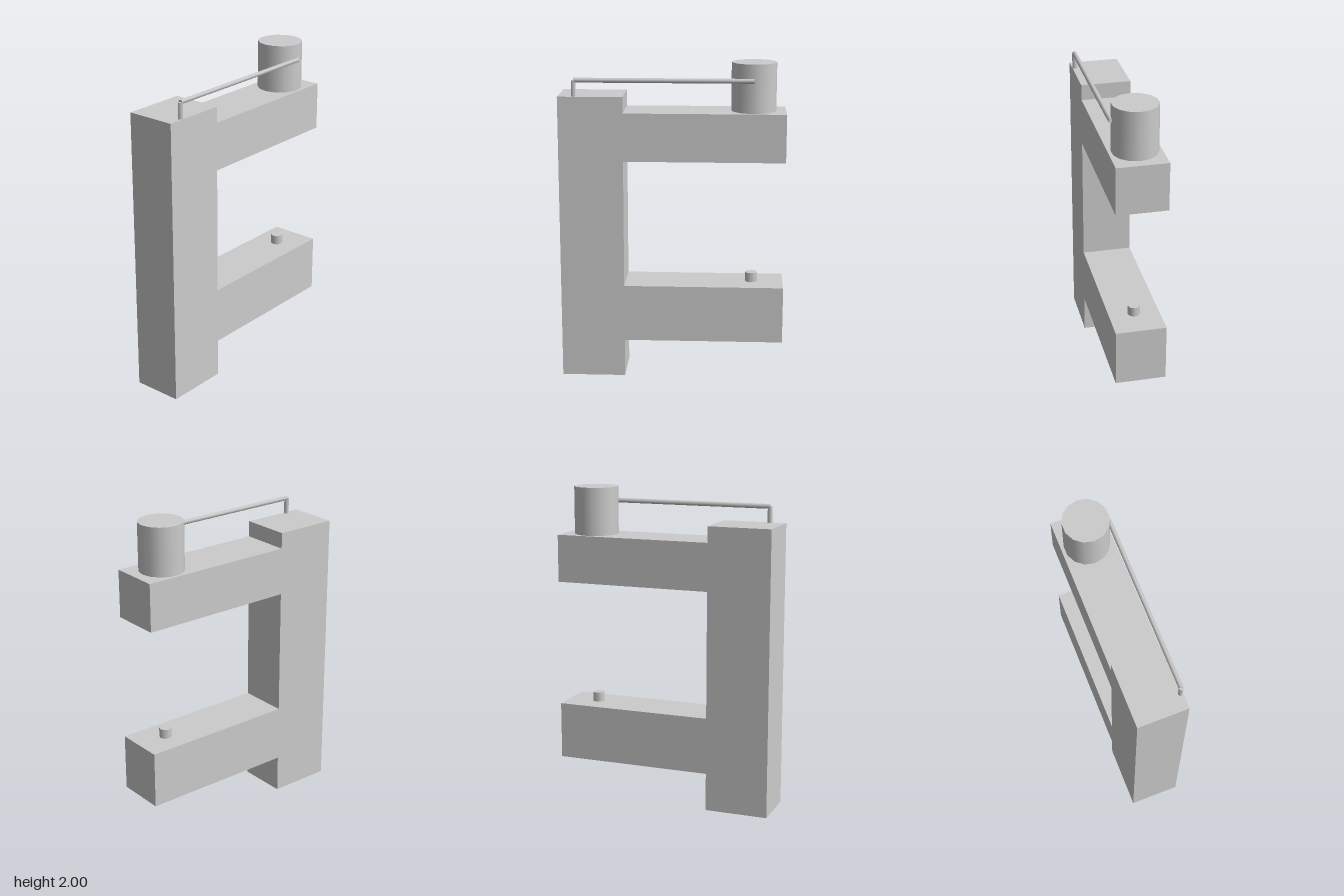
import * as THREE from 'three';

const HALF_WIDTH = 0.157;

export function createModel() {
  const group = new THREE.Group();
  const grey = new THREE.MeshStandardMaterial({ color: 0xcccccc });
  grey.name = 'light grey';

  const add = (name, geometry, x = 0, y = 0, z = 0) => {
    const mesh = new THREE.Mesh(geometry, grey);
    mesh.name = name;
    mesh.position.set(x, y, z);
    group.add(mesh);
    return mesh;
  };

  // Column with two rearward arms: a side profile (z, y) extruded across x
  const profile = new THREE.Shape([
    [0.7, 0], [0.7, 1.8], [0.3, 1.8], [0.3, 1.7], [-0.7, 1.7], [-0.7, 1.4],
    [0.3, 1.4], [0.3, 0.6], [-0.7, 0.6], [-0.7, 0.24], [0.3, 0.24], [0.3, 0],
  ].map(([z, y]) => new THREE.Vector2(z, y)));
  const frame = new THREE.ExtrudeGeometry(profile, { depth: HALF_WIDTH * 2, bevelEnabled: false });
  frame.translate(0, 0, -HALF_WIDTH).rotateY(-Math.PI / 2);
  add('frame', frame);

  // Drum on the upper arm and peg on the lower arm
  add('drum', new THREE.CylinderGeometry(0.139, 0.139, 0.3, 14), 0, 1.85, -0.5);
  add('peg', new THREE.CylinderGeometry(0.039, 0.039, 0.06, 8), 0, 0.63, -0.5);

  // Thin post on the column carrying a rod back to the drum
  const rodX = 0.142;
  const post = new THREE.CylinderGeometry(0.015, 0.015, 0.1, 6).rotateY(Math.PI / 2);
  add('post', post, rodX, 1.85, 0.6);
  const rod = new THREE.CylinderGeometry(0.015, 0.015, 1.1, 6).rotateX(Math.PI / 2);
  add('rod', rod, rodX, 1.9, 0.05);

  return group;
}
